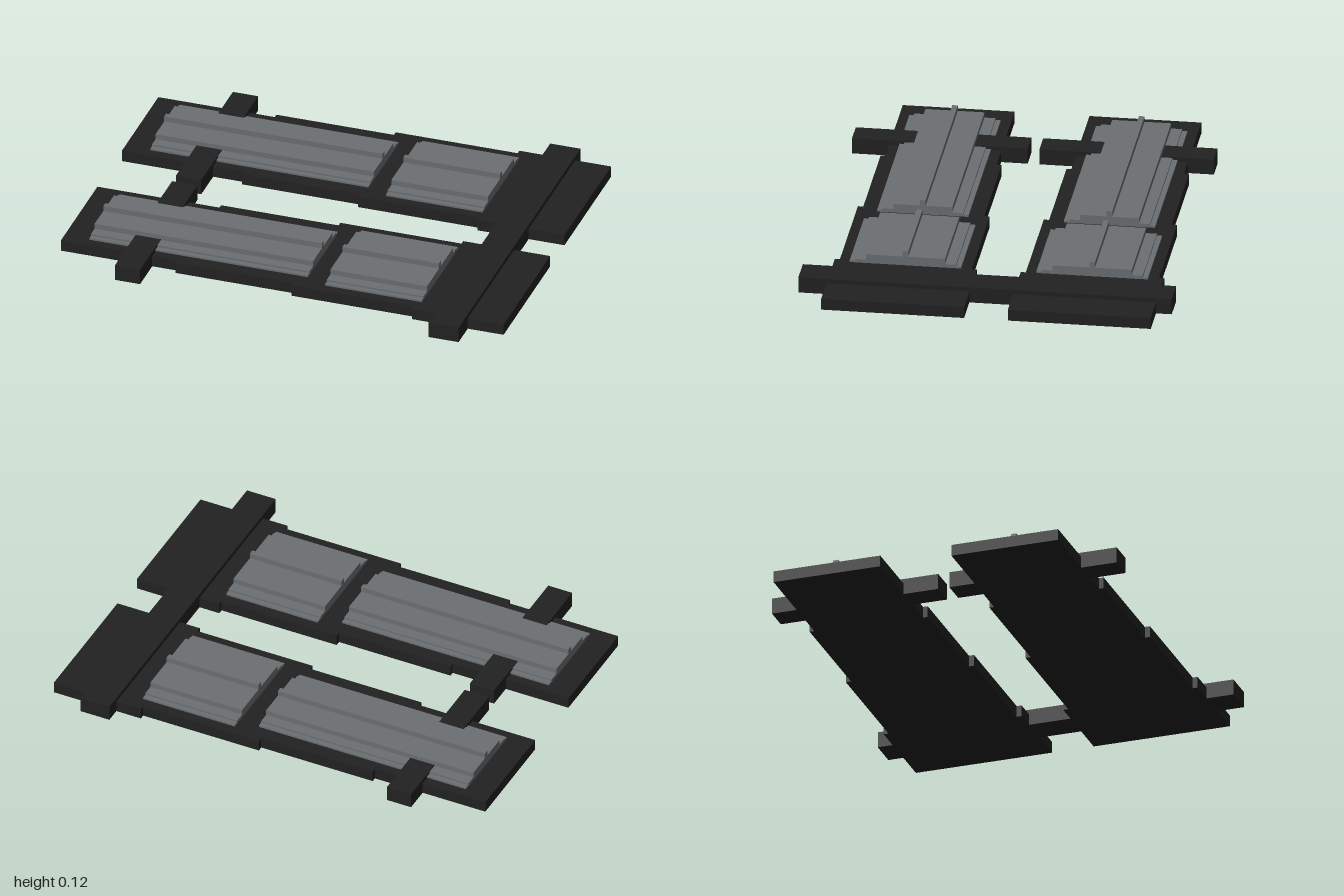
import * as THREE from 'three';

export function createModel() {
  const dark = new THREE.MeshStandardMaterial({ color: 0x222222 });
  dark.name = 'dark frame';
  const grey = new THREE.MeshStandardMaterial({ color: 0x6b7073 });
  grey.name = 'grey panel';

  const model = new THREE.Group();
  model.name = 'panelAssembly';

  // Box given by its limits on each axis
  function box(parent, name, material, x0, x1, y0, y1, z0, z1) {
    const mesh = new THREE.Mesh(new THREE.BoxGeometry(x1 - x0, y1 - y0, z1 - z0), material);
    mesh.position.set((x0 + x1) / 2, (y0 + y1) / 2, (z0 + z1) / 2);
    mesh.name = name;
    parent.add(mesh);
  }

  // Stepped base board, widening towards +x; the inner steps sit slightly later
  function baseBoard(parent, inner) {
    const widths = [0.239, 0.26, 0.283, 0.305];
    const front = [-1, -0.48, 0.045, 0.59, 1];
    const back = [-1, -0.455, 0.07, 0.612, 1];
    const [plus, minus] = inner > 0 ? [back, front] : [front, back];
    const points = [];
    widths.forEach((w, i) => points.push([minus[i], -w], [minus[i + 1], -w]));
    for (let i = 3; i >= 0; i--) points.push([plus[i + 1], widths[i]], [plus[i], widths[i]]);
    const shape = new THREE.Shape(points.map(([x, y]) => new THREE.Vector2(x, y)));
    const geometry = new THREE.ExtrudeGeometry(shape, { depth: 0.05, bevelEnabled: false });
    geometry.rotateX(-Math.PI / 2);
    const mesh = new THREE.Mesh(geometry, dark);
    mesh.name = 'baseBoard';
    parent.add(mesh);
  }

  // Raised panel made of stacked strips with a narrow centre ridge
  function panel(parent, name, x0, x1, half) {
    const group = new THREE.Group();
    group.name = name;
    parent.add(group);
    const steps = [[half, 0.058], [half - 0.022, 0.066], [half - 0.069, 0.09], [0.012, 0.115]];
    let y = 0.04;
    steps.forEach(([w, top], i) => {
      box(group, i === 3 ? 'centreRidge' : 'panelLayer', grey, x0, x1, y, top, -w, w);
      y = top;
    });
  }

  // Two matching sides, each with a board, two panels and a short crossbar
  for (const [name, z, inner] of [['frontSide', 0.372, 1], ['backSide', -0.425, -1]]) {
    const side = new THREE.Group();
    side.name = name;
    side.position.z = z;
    model.add(side);
    // the shape's y axis points to -z
    baseBoard(side, inner);
    panel(side, 'longPanel', -0.888, 0.088, 0.195);
    panel(side, 'shortPanel', 0.18, 0.612, 0.238);
    const [z0, z1] = inner > 0 ? [0.02, 0.77] : [-0.775, -0.03];
    box(side, 'shortCrossbar', dark, -0.705, -0.592, 0, 0.07, z0 - z, z1 - z);
  }

  // Long crossbar joining both sides
  box(model, 'longCrossbar', dark, 0.705, 0.84, 0, 0.07, -0.797, 0.797);

  return model;
}
